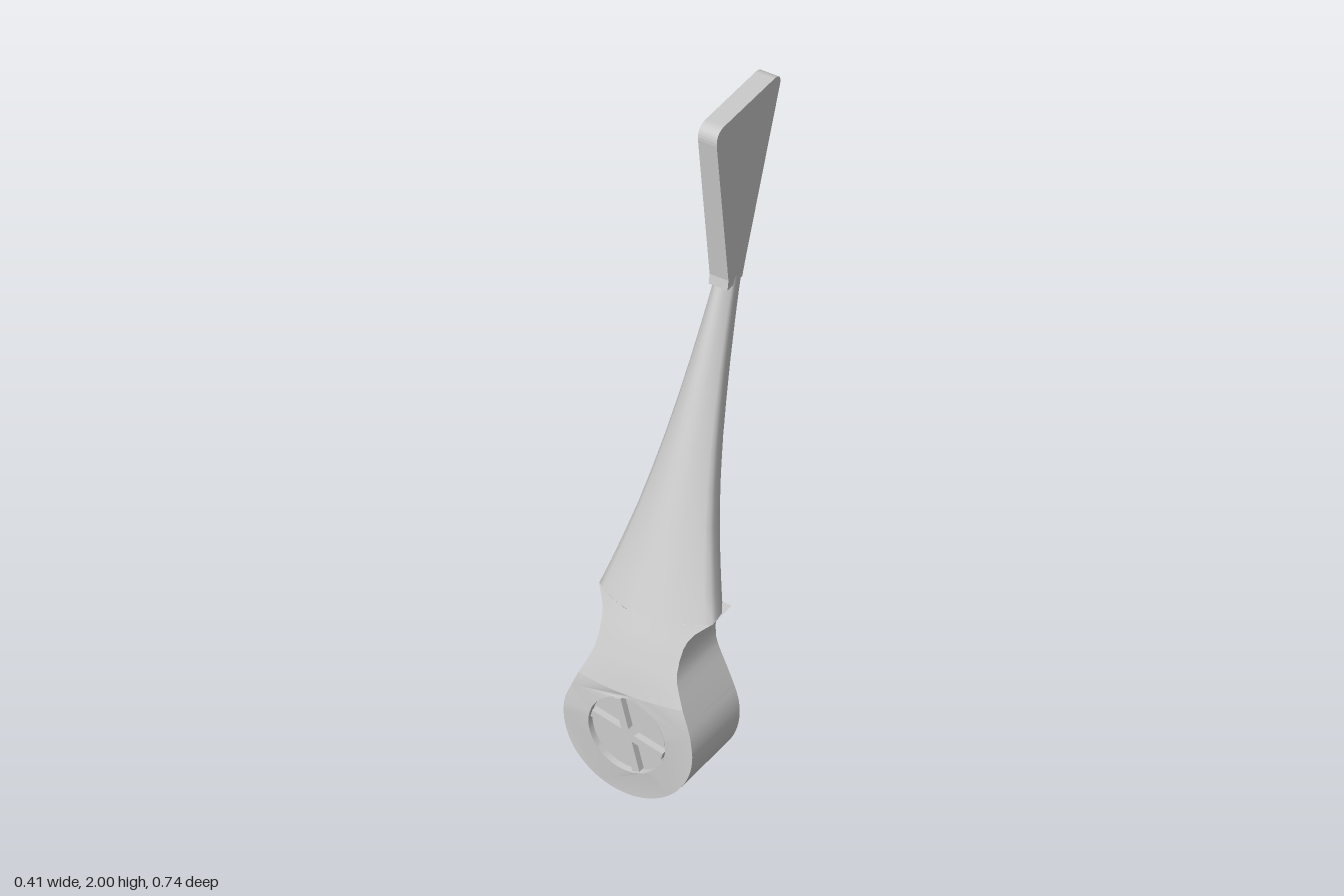
import * as THREE from 'three';

const material = new THREE.MeshStandardMaterial({ color: 0xcccccc, side: THREE.DoubleSide });

// piecewise-linear lookup through [key, value] pairs
function lookup(table, k) {
  let i = 1;
  while (i < table.length - 1 && k > table[i][0]) i++;
  const [a, b] = [table[i - 1], table[i]];
  return THREE.MathUtils.lerp(a[1], b[1], THREE.MathUtils.clamp((k - a[0]) / (b[0] - a[0]), 0, 1));
}

// smooth surface through rows of [x, y, z] points
function surface(rows) {
  const n = rows[0].length, index = [];
  for (let r = 0; r < rows.length - 1; r++)
    for (let c = 0; c < n - 1; c++) {
      const a = r * n + c, b = a + n;
      index.push(a, a + 1, b + 1, a, b + 1, b);
    }
  const g = new THREE.BufferGeometry();
  g.setAttribute('position', new THREE.Float32BufferAttribute(rows.flat(2), 3));
  g.setIndex(index);
  g.computeVertexNormals();
  return g;
}

const FRONT = [[0, 0.365], [0.1, 0.372], [0.2, 0.373], [0.3, 0.373], [0.345, 0.371], [0.4, 0.356],
  [0.45, 0.338], [0.5, 0.318], [0.56, 0.29], [0.7, 0.225], [1, 0.09], [1.45, -0.11]];
const BACK = [[0.56, 0.12], [0.75, 0.062], [0.94, 0], [1.2, -0.093], [1.485, -0.195]];
const HANDLE_WIDTH = [[0.56, 0.18], [0.63, 0.159], [0.7, 0.14], [0.8, 0.115], [0.9, 0.095], [1, 0.078],
  [1.1, 0.064], [1.2, 0.052], [1.3, 0.042], [1.38, 0.035], [1.45, 0.03]];
const CROWN = [[0.25, 0.2], [0.4, 1], [0.56, 2.1]];
const NECK = [[0.30, 0.185], [0.345, 0.166], [0.38, 0.15], [0.41, 0.137], [0.435, 0.13], [0.47, 0.128],
  [0.5, 0.13], [0.52, 0.136], [0.537, 0.148], [0.55, 0.165], [0.56, 0.18]];
const BACK_Z = 0.12, SPLIT = 0.345, CY = 0.21, R = 0.205, HOLE = 0.122;

const frontZ = (x, y) => lookup(FRONT, y) - lookup(CROWN, y) * x * x;

export function createModel() {
  const model = new THREE.Group();
  const add = (name, geometry, parent = model) => {
    const mesh = new THREE.Mesh(geometry, material);
    mesh.name = name;
    parent.add(mesh);
    return mesh;
  };

  // cup outline: right half from the bottom up to the flared neck
  const half = [];
  for (let i = 0; i <= 28; i++) {
    const a = -Math.PI / 2 + (i / 28) * THREE.MathUtils.degToRad(115);
    half.push([R * Math.cos(a), CY + R * Math.sin(a)]);
  }
  NECK.forEach(([y, x]) => half.push([x, y]));
  const outline = [...half.slice(1).reverse().map(([x, y]) => [-x, y]), ...half];

  // side wall, open at the back
  add('cupWall', surface([
    outline.map(([x, y]) => [x, y, BACK_Z]),
    outline.map(([x, y]) => [x, y, frontZ(x, y)]),
  ]));

  // lower front face with a round opening
  const lower = outline.filter(([, y]) => y <= SPLIT).map(p => new THREE.Vector2(...p));
  const edge = lookup(NECK, SPLIT);
  for (let i = 1; i < 12; i++) lower.push(new THREE.Vector2(edge * (1 - i / 6), SPLIT));
  const face = new THREE.Shape(lower);
  face.holes.push(new THREE.Path().absarc(0, CY, HOLE, 0, Math.PI * 2, true));
  const faceGeometry = new THREE.ShapeGeometry(face, 24);
  const pos = faceGeometry.attributes.position;
  for (let i = 0; i < pos.count; i++) pos.setZ(i, frontZ(pos.getX(i), pos.getY(i)));
  faceGeometry.computeVertexNormals();
  add('cupFace', faceGeometry);

  // upper front face, crowned towards the handle
  add('neckFace', surface(NECK.slice(1).map(([y, w]) =>
    Array.from({ length: 13 }, (_, i) => {
      const x = w * (i / 6 - 1);
      return [x, y, frontZ(x, y)];
    }))));

  // recessed round plate with six spokes
  const vent = new THREE.Group();
  vent.name = 'vent';
  vent.position.set(0, CY, 0);
  model.add(vent);
  add('ventPlate', new THREE.CircleGeometry(HOLE, 48), vent).position.z = 0.35;
  const rim = add('ventRim', new THREE.CylinderGeometry(HOLE, HOLE, 0.022, 48, 1, true), vent);
  rim.rotation.x = Math.PI / 2;
  rim.position.z = 0.36;
  for (let i = 0; i < 6; i++) {
    const angle = THREE.MathUtils.degToRad(45 + i * 60);
    const spoke = add('ventSpoke', new THREE.BoxGeometry(0.116, 0.023, 0.042), vent);
    spoke.rotation.z = angle;
    spoke.position.set(0.058 * Math.cos(angle), 0.058 * Math.sin(angle), 0.351);
  }

  // handle: crowned front, rounded sides and a flat back, tapering upwards
  const handle = new THREE.Group();
  handle.name = 'handle';
  model.add(handle);
  const side = [[0.83, 0], [0.97, 0.25], [1, 0.45], [1, 0.59], [0.9, 0.67], [0.75, 0.77], [0.5, 0.9], [0.25, 0.975]];
  const section = [...side, [0, 1], ...side.map(([u, t]) => [-u, t]).reverse()];
  const rings = HANDLE_WIDTH.map(([y, w]) => {
    const b = lookup(BACK, y), f = lookup(FRONT, y);
    return section.map(([u, t]) => [u * w, y, b + (f - b) * t]);
  });
  add('handleFront', surface(rings), handle);
  add('handleBack', surface(rings.map(r => [r[r.length - 1], r[0]])), handle);
  // floor of the handle, closing the top of the cup
  add('handleBase', surface([rings[0], rings[0].map(([x, y]) => [x, y, BACK_Z])]), handle);

  // flat flared paddle at the top, drawn in the side plane
  const paddle = new THREE.Shape();
  paddle.moveTo(-0.176, 1.43);
  paddle.lineTo(-0.1, 1.43);
  paddle.lineTo(-0.105, 1.46);
  paddle.lineTo(-0.045, 1.955);
  paddle.quadraticCurveTo(-0.042, 2, -0.085, 2);
  paddle.lineTo(-0.345, 1.995);
  paddle.quadraticCurveTo(-0.385, 1.99, -0.368, 1.95);
  paddle.lineTo(-0.195, 1.485);
  const paddleGeometry = new THREE.ExtrudeGeometry(paddle, { depth: 0.06, bevelEnabled: false, curveSegments: 8 });
  paddleGeometry.translate(0, 0, -0.03);
  paddleGeometry.rotateY(-Math.PI / 2);
  add('paddle', paddleGeometry);

  return model;
}
